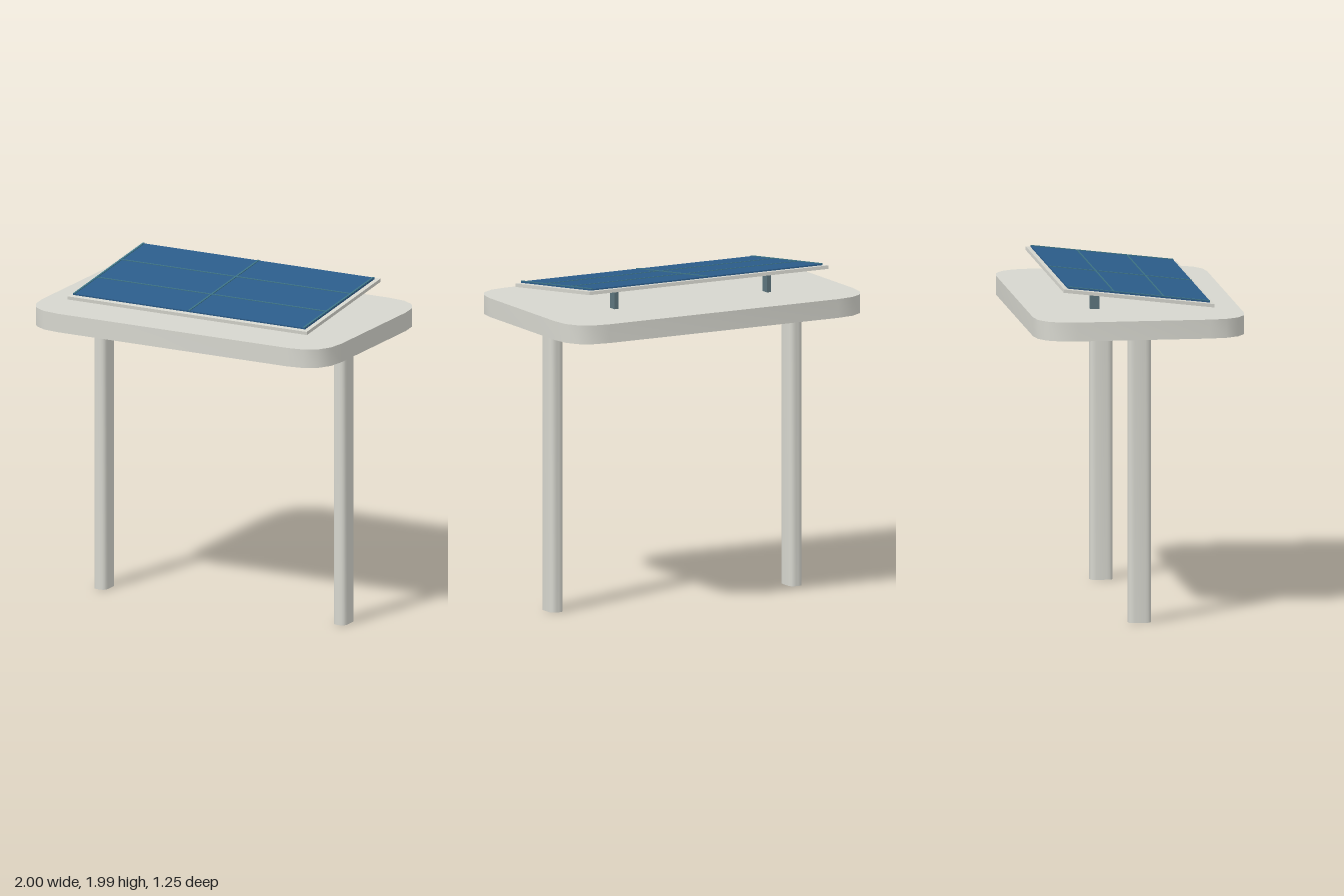
import * as THREE from 'three';
import { toCreasedNormals } from 'three/addons/utils/BufferGeometryUtils.js';

const mat = (color) => new THREE.MeshStandardMaterial({ color });

// Upright slab with rounded corners, standing on y = 0
function roundedSlab(w, d, h, r, segments) {
  const x = w / 2, z = d / 2;
  const s = new THREE.Shape();
  s.moveTo(-x + r, -z);
  s.lineTo(x - r, -z);
  s.quadraticCurveTo(x, -z, x, -z + r);
  s.lineTo(x, z - r);
  s.quadraticCurveTo(x, z, x - r, z);
  s.lineTo(-x + r, z);
  s.quadraticCurveTo(-x, z, -x, z - r);
  s.lineTo(-x, -z + r);
  s.quadraticCurveTo(-x, -z, -x + r, -z);
  const geo = new THREE.ExtrudeGeometry(s, { depth: h, bevelEnabled: false, curveSegments: segments });
  geo.rotateX(-Math.PI / 2);
  return toCreasedNormals(geo, 0.8);
}

function add(parent, name, geometry, material, x, y, z) {
  const mesh = new THREE.Mesh(geometry, material);
  mesh.name = name;
  mesh.position.set(x, y, z);
  parent.add(mesh);
  return mesh;
}

export function createModel() {
  const model = new THREE.Group();
  model.name = 'solarShelter';
  const shell = mat(0xd6d6ce);
  const cellBlue = mat(0x2b5c8a);
  const barTeal = mat(0x3c7286);
  const strutGrey = mat(0x5c747c);

  // Roof slab
  add(model, 'roof', roundedSlab(2, 1.245, 0.112, 0.235, 4), shell, 0, 1.7, 0);

  // Columns and rear panel struts
  const column = roundedSlab(0.085, 0.135, 1.69, 0.036, 4);
  const strut = new THREE.BoxGeometry(0.028, 0.13, 0.055);
  for (const side of [1, -1]) {
    const label = side > 0 ? 'left' : 'right';
    add(model, label + 'Column', column, shell, side * 0.8, 0, 0);
    add(model, label + 'Strut', strut, strutGrey, side * 0.51, 1.873, -0.222);
  }

  // Tilted solar panel
  const panel = new THREE.Group();
  panel.name = 'solarPanel';
  panel.position.set(0, 1.914, 0);
  panel.rotation.x = 0.12;
  model.add(panel);
  add(panel, 'panelFrame', new THREE.BoxGeometry(1.6, 0.02, 0.895), shell, 0, 0, 0);
  add(panel, 'panelCells', new THREE.BoxGeometry(1.55, 0.008, 0.846), cellBlue, 0, 0.017, 0);

  // Dividing bars
  for (const x of [-0.767, 0, 0.767]) {
    add(panel, 'lengthBar', new THREE.BoxGeometry(0.012, 0.008, 0.846), barTeal, x, 0.021, 0);
  }
  for (const z of [-0.148, 0.148]) {
    add(panel, 'crossBar', new THREE.BoxGeometry(1.55, 0.007, 0.009), barTeal, 0, 0.021, z);
  }
  return model;
}
